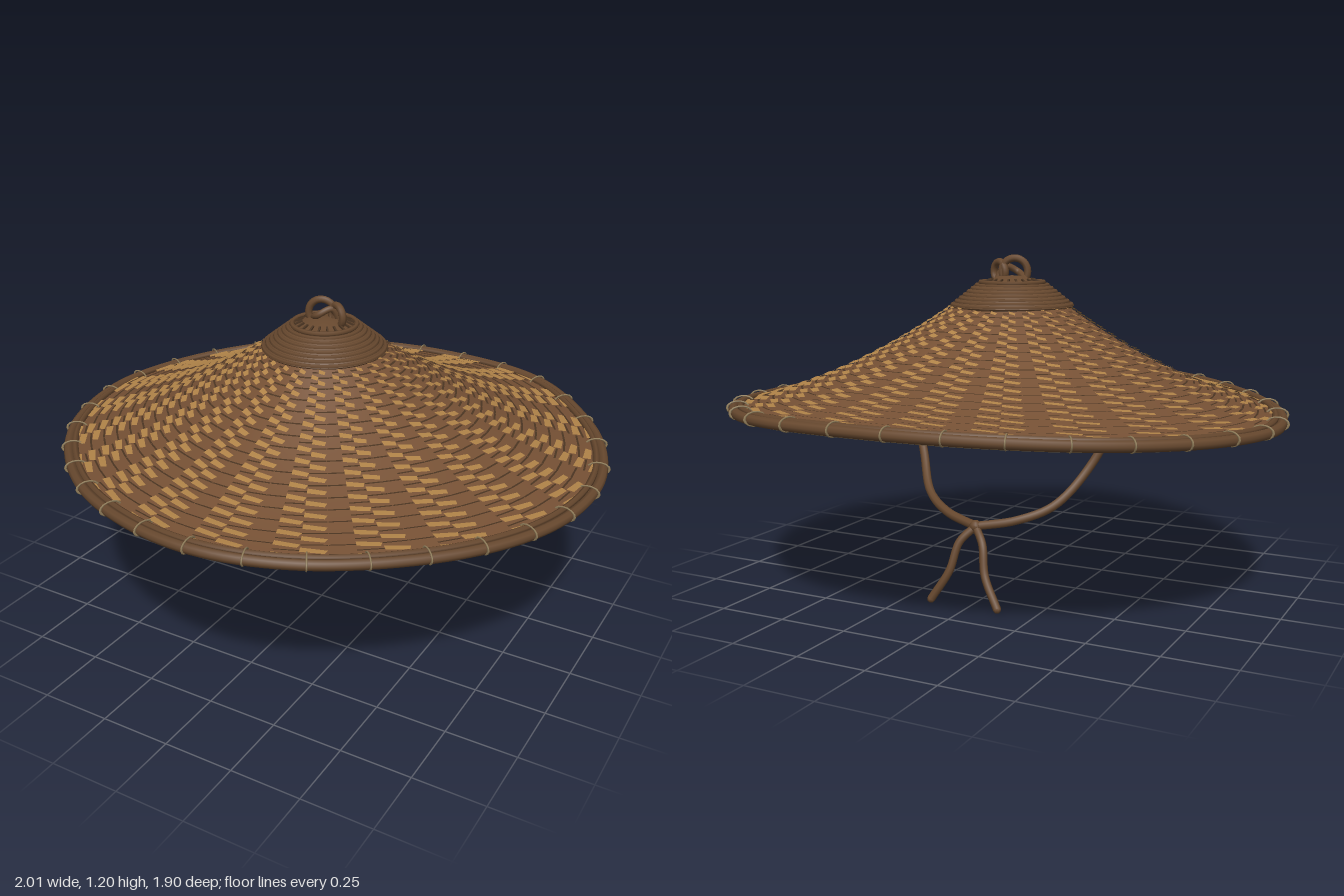
import * as THREE from 'three';
import { mergeVertices } from 'three/addons/utils/BufferGeometryUtils.js';

const mat = (name, color, side = THREE.FrontSide) => {
  const m = new THREE.MeshStandardMaterial({ color, side });
  m.name = name;
  return m;
};
const V = (x, y, z) => new THREE.Vector3(x, y, z);

export function createModel() {
  const brown = mat('brown straw', 0x755034);
  const tan = mat('golden straw', 0xb08348, THREE.DoubleSide);
  const dark = mat('dark fibre', 0x4b3522, THREE.DoubleSide);
  const rope = mat('brown cord', 0x67482e);
  const pale = mat('pale thread', 0x94805c);

  const hat = new THREE.Group();
  hat.name = 'strawHat';
  const add = (name, geometry, material, parent = hat) => {
    const mesh = new THREE.Mesh(geometry, material);
    mesh.name = name;
    parent.add(mesh);
    return mesh;
  };
  const tube = (name, points, r, material, parent = hat) =>
    add(name, new THREE.TubeGeometry(new THREE.CatmullRomCurve3(points), 40, r, 8), material, parent);

  // Uneven rim outline (x, z), dipping at both sides
  const outline = [[0.06, -0.93], [0.50, -0.86], [0.82, -0.57], [0.945, -0.32], [0.98, -0.08], [0.925, 0.21],
    [0.74, 0.52], [0.39, 0.82], [0.04, 0.915], [-0.39, 0.80], [-0.71, 0.55], [-0.90, 0.27], [-0.98, -0.1],
    [-0.88, -0.42], [-0.66, -0.69], [-0.36, -0.86]];
  const rim = new THREE.CatmullRomCurve3(
    outline.map(([x, z]) => V(x, 0.655 + 0.045 * (z / 0.93) ** 2, z)), true);
  const apex = V(0, 0, -0.02);

  // Point on the hat: u goes around, t from apex to rim
  const surf = (u, t, lift = 0) => {
    const r = rim.getPointAt(((u % 1) + 1) % 1);
    const y = Math.min(1.09, 1.178 - 0.802 * t + 0.279 * t * t) + (r.y - 0.655) * t ** 3 + lift;
    return V(apex.x + (r.x - apex.x) * t, y, apex.z + (r.z - apex.z) * t);
  };

  // Outer and inner skins of the cone
  const skin = (lift, flip) => {
    const g = new THREE.PlaneGeometry(1, 1, 120, 24);
    const p = g.attributes.position;
    for (let i = 0; i < p.count; i++) {
      const u = p.getX(i) + 0.5, t = p.getY(i) + 0.5;
      const q = surf(flip ? 1 - u : u, Math.max(t, 0.01), lift);
      p.setXYZ(i, q.x, q.y, q.z);
    }
    g.deleteAttribute('uv');
    g.deleteAttribute('normal');
    const merged = mergeVertices(g, 1e-4);
    merged.computeVertexNormals();
    return merged;
  };
  add('outerCone', skin(0, false), brown);
  add('innerLining', skin(-0.018, true), brown);

  // Woven slats: staggered golden lozenges and dark gaps between rows
  const BANDS = 22, ROWS = 17;
  const rowT = (k) => 0.2 + 0.78 * (k / ROWS) ** 1.15;
  const gold = [], gaps = [];
  const quad = (list, a, b, c, d) => {
    for (const p of [a, b, c, a, c, d]) list.push(p.x, p.y, p.z);
  };
  for (let b = 0; b < BANDS; b++) {
    for (let k = 0; k < ROWS; k++) {
      for (let col = 0; col < 3; col++) {
        const off = col * 0.5;
        const t0 = rowT(k + off % 1), t1 = rowT(Math.min(k + off % 1 + 0.62, ROWS));
        const u0 = (b + 0.04 + col * 0.33) / BANDS, u1 = u0 + 0.33 / BANDS;
        const shear = (t1 - t0) * 0.35;
        if (col < 2) {
          quad(gold, surf(u0, t0 + shear, 0.005), surf(u1, t0, 0.006),
            surf(u1, t1 - shear * 0.4, 0.012), surf(u0 + 0.04 / BANDS, t1, 0.009));
        }
        const e = t1 + 0.003;
        quad(gaps, surf(u0, e, 0.004), surf(u1, e, 0.004),
          surf(u1, e + 0.007, 0.006), surf(u0, e + 0.007, 0.006));
      }
    }
  }
  const plates = (name, list, material) => {
    const g = new THREE.BufferGeometry();
    g.setAttribute('position', new THREE.Float32BufferAttribute(list, 3));
    g.computeVertexNormals();
    add(name, g, material);
  };
  plates('goldenWeave', gold, tan);
  plates('weaveGaps', gaps, dark);

  // Bound rim: thick cord, pale seam and thread wraps
  add('rimCord', new THREE.TubeGeometry(rim, 160, 0.018, 8, true), rope);
  const offsetRim = (t, lift) => new THREE.CatmullRomCurve3(
    Array.from({ length: 48 }, (_, i) => surf(i / 48, t, lift)), true);
  add('rimUpperCord', new THREE.TubeGeometry(offsetRim(0.975, 0.008), 160, 0.011, 6, true), rope);
  add('rimSeam', new THREE.TubeGeometry(offsetRim(0.985, -0.019), 160, 0.005, 6, true), pale);
  const wraps = new THREE.Group();
  wraps.name = 'rimStitches';
  hat.add(wraps);
  const wrapGeo = new THREE.TorusGeometry(0.023, 0.003, 5, 14);
  for (let i = 0; i < 32; i++) {
    const u = (i + 0.5) / 32;
    const w = add('rimStitch', wrapGeo, pale, wraps);
    w.position.copy(surf(u, 0.985));
    w.lookAt(w.position.clone().add(rim.getTangentAt(u)));
    w.scale.set(1.6, 1, 1);
  }

  // Coiled crown cap
  const cap = new THREE.Group();
  cap.name = 'crownCap';
  cap.position.set(0, 0, -0.02);
  hat.add(cap);
  const profile = [[0.2, 1.01], [0.222, 1.022], [0.135, 1.093], [0.1, 1.102], [0.05, 1.125], [0, 1.128]];
  add('capCore', new THREE.LatheGeometry(profile.map(([x, y]) => new THREE.Vector2(x, y)), 48), rope, cap);
  for (let i = 0; i < 8; i++) {
    const f = i / 7;
    const coil = add('capCoil', new THREE.TorusGeometry(0.213 - 0.1 * f, 0.0085, 6, 48), rope, cap);
    coil.rotation.x = Math.PI / 2;
    coil.position.y = 1.024 + 0.08 * f;
  }
  for (let i = 0; i < 20; i++) {
    const a = (i / 20) * Math.PI * 2;
    const s = add('capStitch', new THREE.BoxGeometry(0.03, 0.006, 0.007), dark, cap);
    s.position.set(Math.cos(a) * 0.09, 1.11, Math.sin(a) * 0.09);
    s.rotation.set(0, -a, -0.4, 'YXZ');
  }
  const eyelet = add('innerEyelet', new THREE.TorusGeometry(0.04, 0.01, 8, 24), rope, cap);
  eyelet.rotation.x = Math.PI / 2;
  eyelet.position.y = 1.065;

  // Looped knot on top
  const knot = new THREE.Group();
  knot.name = 'topKnot';
  hat.add(knot);
  [[-0.01, 1.142, 0.047, 0.3], [0.05, 1.14, 0.036, -0.5]].forEach(([x, y, r, turn]) => {
    const loop = add('knotLoop', new THREE.TorusGeometry(r, 0.013, 8, 32), rope, knot);
    loop.position.set(x, y, -0.02);
    loop.rotation.y = turn;
  });
  tube('knotCross', [V(-0.06, 1.11, -0.03), V(-0.01, 1.14, 0.01), V(0.03, 1.16, -0.02), V(0.05, 1.11, -0.04)],
    0.012, rope, knot);

  // Chin strap: two sides meeting in a knot, with two loose ends
  const strap = new THREE.Group();
  strap.name = 'chinStrap';
  hat.add(strap);
  for (const s of [-1, 1]) {
    const at = (x, y, z) => V(0.01 + s * x, y, z);
    tube('strapSide', [at(0.47, 0.83, 0.01), at(0.425, 0.67, -0.01), at(0.34, 0.475, -0.065),
      at(0.25, 0.345, -0.17), at(0.14, 0.295, -0.24), at(0, 0.268, -0.285)], 0.016, rope, strap);
    const end = [at(0, 0.268, -0.285), at(0.045, 0.215, -0.32), at(0.07, 0.115, -0.35), at(0.13, 0.012, -0.375)];
    tube('strapEnd', end, 0.0145, rope, strap);
    add('strapTip', new THREE.SphereGeometry(0.0145, 8, 6), rope, strap).position.copy(end[3]);
  }
  const tie = add('strapKnot', new THREE.SphereGeometry(0.022, 12, 8), rope, strap);
  tie.position.set(0.01, 0.268, -0.285);

  return hat;
}
